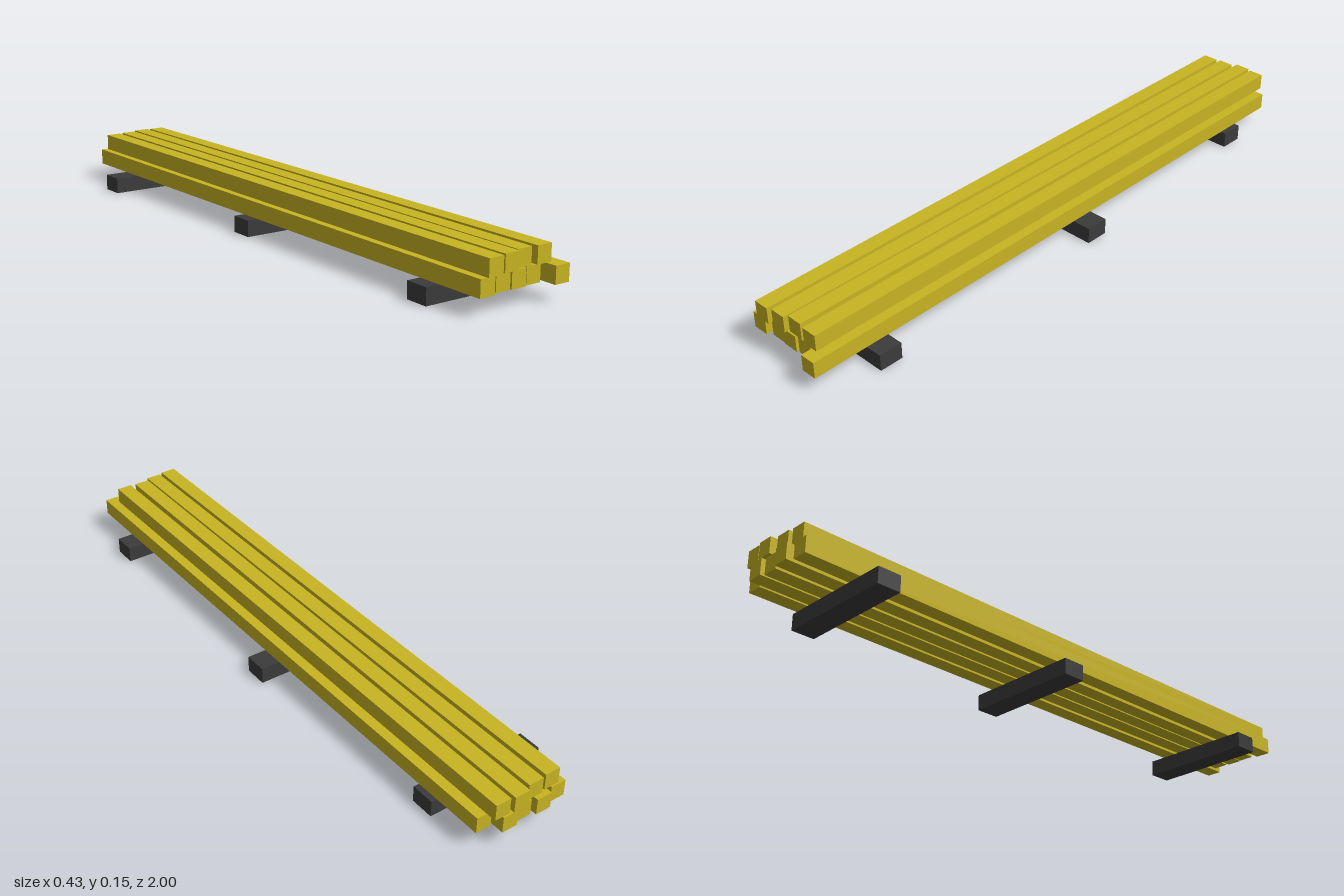
import * as THREE from 'three';

export function createModel() {
  const model = new THREE.Group();
  const yellow = new THREE.MeshStandardMaterial({ color: 0xc8b422 });
  yellow.name = 'yellow timber';
  const dark = new THREE.MeshStandardMaterial({ color: 0x3b3b3b });
  dark.name = 'dark grey';

  const size = 0.051; // height of every layer

  // Beam from its back end to its front end, given the x of its left edge there
  function addBeam(name, layer, xBack, xFront, zBack, zFront) {
    const width = 0.0495;
    const dx = xFront - xBack, dz = zFront - zBack;
    const beam = new THREE.Mesh(new THREE.BoxGeometry(width, size, Math.hypot(dx, dz)), yellow);
    beam.name = name;
    beam.position.set((xBack + xFront + width) / 2, size * (layer + 0.5), (zBack + zFront) / 2);
    beam.rotation.y = Math.atan2(dx, dz);
    model.add(beam);
  }

  // Cross supports on the ground: centre x, centre z
  [[-0.025, -0.77], [0.023, -0.033], [0.02, 0.787]].forEach(([x, z], i) => {
    const support = new THREE.Mesh(new THREE.BoxGeometry(0.382, size, 0.075), dark);
    support.name = `support${i + 1}`;
    support.position.set(x, size / 2, z);
    model.add(support);
  });

  // Lower layer of five beams
  [
    [-0.14, -0.127, -0.985, 0.975],
    [-0.077, -0.063, -1.0, 0.963],
    [-0.016, -0.01, -0.99, 0.965],
    [0.04, 0.046, -1.0, 0.96],
    [0.097, 0.11, -0.963, 1.0],
  ].forEach((b, i) => addBeam(`lowerBeam${i + 1}`, 1, ...b));

  // Upper layer of four beams
  [
    [-0.118, -0.104, -0.98, 0.98],
    [-0.056, -0.043, -0.985, 0.973],
    [0.005, 0.012, -1.0, 0.96],
    [0.065, 0.078, -0.995, 0.965],
  ].forEach((b, i) => addBeam(`upperBeam${i + 1}`, 2, ...b));

  return model;
}
